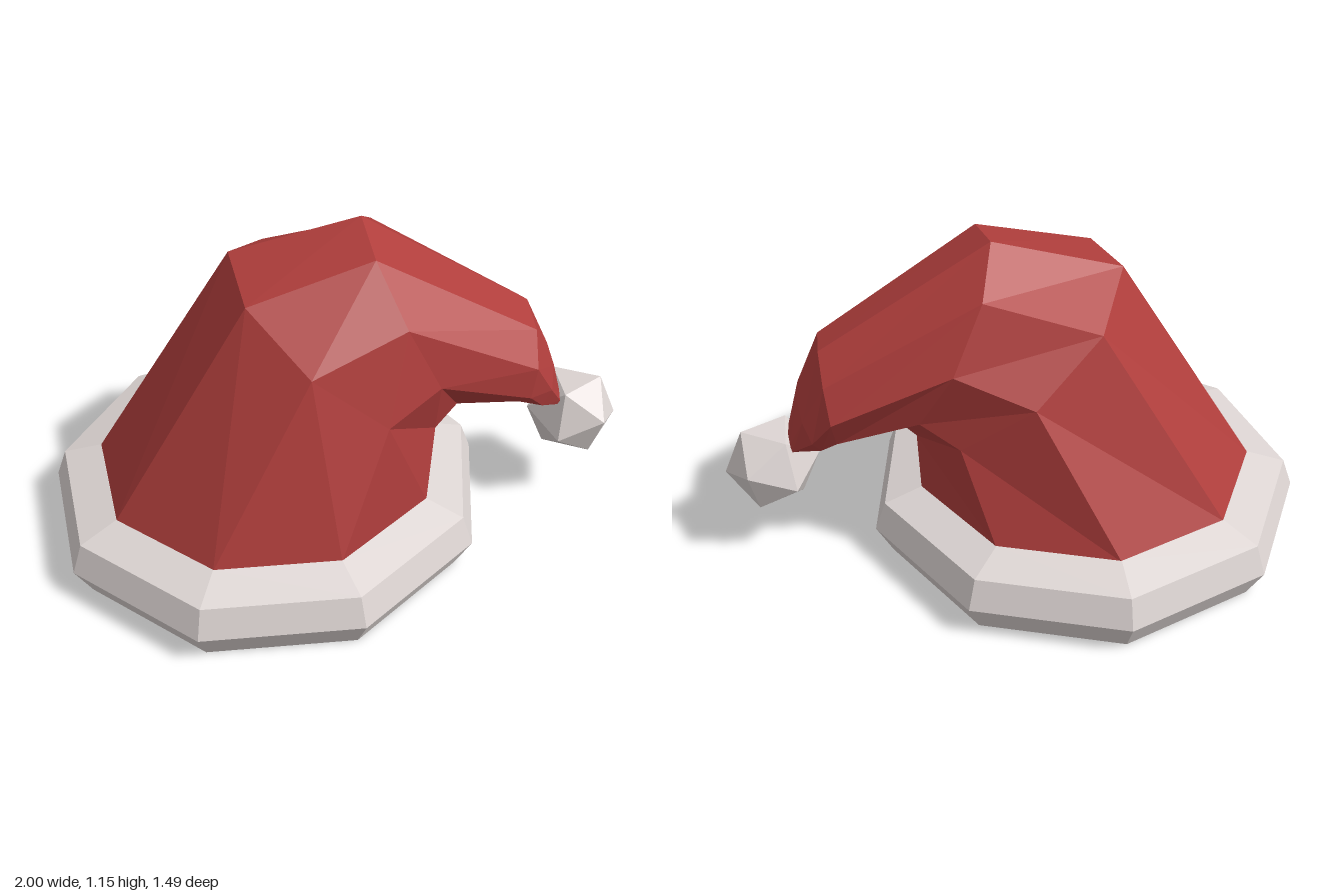
import * as THREE from 'three';

const SIDES = 9;

// One nine-sided cross-section: centre c, half-vector (dx, dy) in the bend plane, half-width rz in depth
function ring([cx, cy, cz, dx, dy, rz]) {
  return Array.from({ length: SIDES }, (_, k) => {
    const a = (k * 2 * Math.PI) / SIDES;
    return [cx + dx * Math.sin(a), cy + dy * Math.sin(a), cz - rz * Math.cos(a)];
  });
}

// Joins cross-sections into a faceted skin, optionally closing its two ends
function loft(sections, capStart, capEnd) {
  const rings = sections.map(ring);
  const index = [];
  const last = (rings.length - 1) * SIDES;
  for (let i = 0; i < rings.length - 1; i++) {
    for (let k = 0; k < SIDES; k++) {
      const n = (k + 1) % SIDES;
      const a = i * SIDES + k, b = i * SIDES + n;
      const d = a + SIDES, c = b + SIDES;
      index.push(a, d, c, a, c, b);
    }
  }
  for (let k = 1; k < SIDES - 1; k++) {
    if (capStart) index.push(0, k, k + 1);
    if (capEnd) index.push(last, last + k + 1, last + k);
  }
  const geometry = new THREE.BufferGeometry();
  geometry.setAttribute('position', new THREE.Float32BufferAttribute(rings.flat(2), 3));
  geometry.setIndex(index);
  const flat = geometry.toNonIndexed();
  flat.computeVertexNormals();
  return flat;
}

export function createModel() {
  const red = new THREE.MeshStandardMaterial({ color: 0xb03e3c, flatShading: true });
  red.name = 'red felt';
  const white = new THREE.MeshStandardMaterial({ color: 0xdcd4d2, flatShading: true });
  white.name = 'off-white fur';

  const group = new THREE.Group();
  group.name = 'floppyHat';
  const add = (name, geometry, material) => {
    const mesh = new THREE.Mesh(geometry, material);
    mesh.name = name;
    group.add(mesh);
    return mesh;
  };

  // Fur brim: radius and height of each step
  const brim = [[0.71, 0], [0.768, 0.113], [0.73, 0.215], [0.595, 0.255]];
  add('brim', loft(brim.map(([r, y]) => [-0.243, y, 0.02, r, 0, r]), true, true), white);

  // Cone that leans over and droops towards the left
  add('cone', loft([
    [-0.243, 0.25, 0.02, 0.597, 0, 0.597],
    [0.005, 0.74, 0.02, 0.35, -0.295, 0.42],
    [0.246, 0.823, 0.02, 0.163, -0.327, 0.318],
    [0.63, 0.635, 0.01, -0.02, -0.168, 0.23],
    [0.695, 0.535, 0.01, -0.04, -0.09, 0.175],
    [0.765, 0.45, 0.01, -0.012, -0.022, 0.09],
  ], false, true), red);

  // Pompom, with one corner pointing outwards and slightly down
  const pompom = add('pompom', new THREE.IcosahedronGeometry(0.162, 0), white);
  pompom.position.set(0.84, 0.355, 0.012);
  pompom.rotation.z = -Math.atan((1 + Math.sqrt(5)) / 2) - 0.14;

  return group;
}
